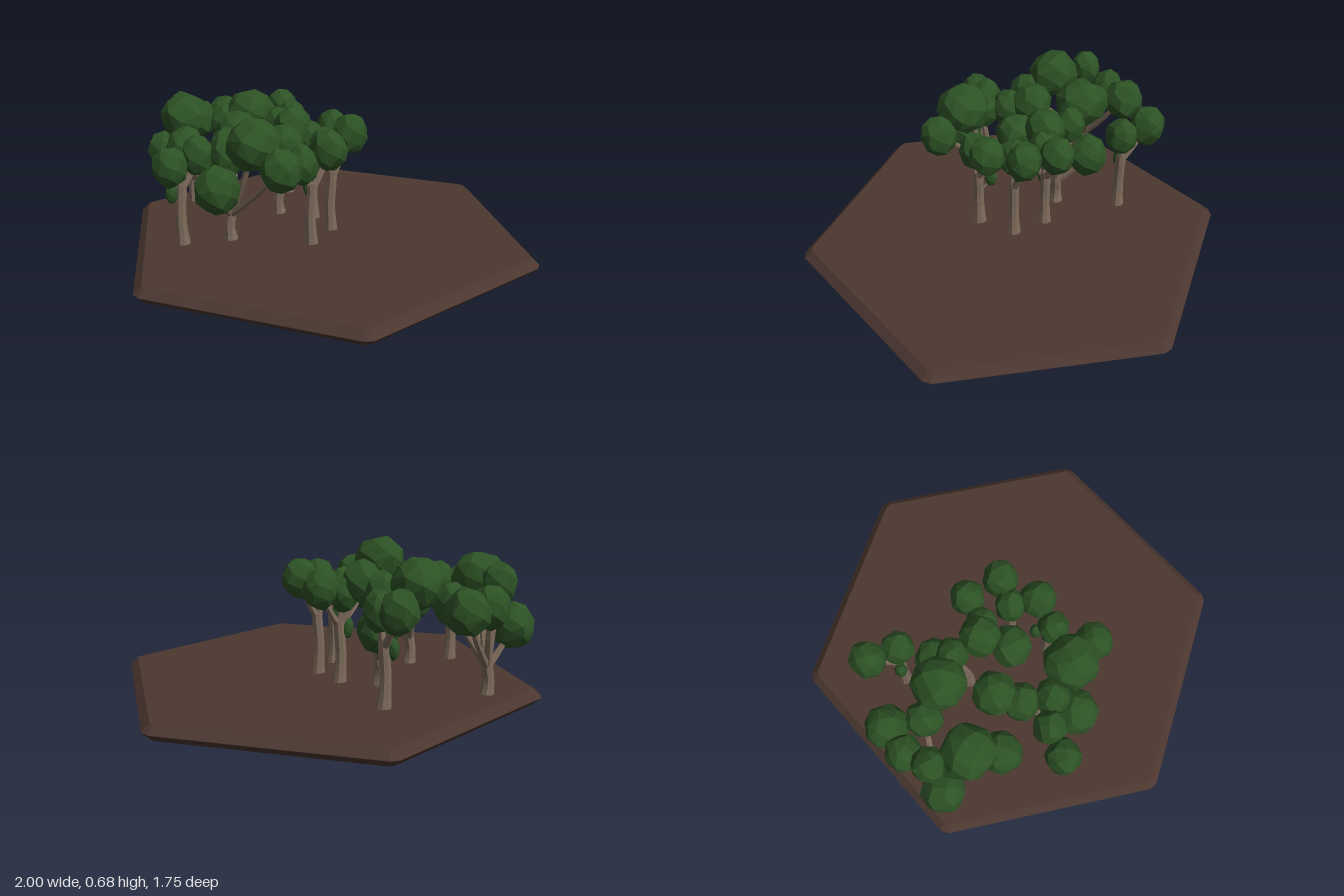
import * as THREE from 'three';
import { ConvexGeometry } from 'three/addons/geometries/ConvexGeometry.js';

const soil = new THREE.MeshStandardMaterial({ color: 0x4b3730 });
soil.name = 'soil';
const bark = new THREE.MeshStandardMaterial({ color: 0x7d6b5b });
bark.name = 'bark';
const foliage = new THREE.MeshStandardMaterial({ color: 0x2d5225 });
foliage.name = 'foliage';

const GROUND = 0.07;

// Small seeded random generator
let seed = 7;
function rand() {
  seed = (seed * 16807) % 2147483647;
  return seed / 2147483647;
}

function addMesh(parent, name, geometry, material) {
  const mesh = new THREE.Mesh(geometry, material);
  mesh.name = name;
  parent.add(mesh);
  return mesh;
}

// Hexagonal slab with clipped corners, bevelled above and below
function makeBase() {
  const R = 1.012, clip = 0.024, bevel = 0.035;
  const corner = (i) => new THREE.Vector2(R * Math.cos(i * Math.PI / 3), R * Math.sin(i * Math.PI / 3));
  const points = [];
  for (let i = 0; i < 6; i++) {
    points.push(corner(i).lerp(corner(i - 1), clip / R), corner(i).lerp(corner(i + 1), clip / R));
  }
  const geo = new THREE.ExtrudeGeometry(new THREE.Shape(points), {
    depth: 0.002, bevelEnabled: true, bevelSegments: 1,
    bevelThickness: 0.034, bevelSize: bevel, bevelOffset: -bevel, steps: 1,
  });
  geo.rotateX(-Math.PI / 2);
  geo.translate(0, 0.034, 0);
  return geo;
}

// Faceted limb along a curve, radius given by a function of 0..1
function makeLimb(points, radius, segments, sides) {
  const curve = new THREE.CatmullRomCurve3(points);
  const geo = new THREE.TubeGeometry(curve, segments, 1, sides);
  const pos = geo.attributes.position;
  const v = new THREE.Vector3();
  for (let i = 0; i <= segments; i++) {
    const centre = curve.getPointAt(i / segments);
    for (let j = 0; j <= sides; j++) {
      const k = i * (sides + 1) + j;
      v.fromBufferAttribute(pos, k).sub(centre).multiplyScalar(radius(i / segments)).add(centre);
      pos.setXYZ(k, v.x, v.y, v.z);
    }
  }
  const flat = geo.toNonIndexed();
  flat.computeVertexNormals();
  return flat;
}

// Irregular faceted leaf clump: hull of jittered points on an ellipsoid
function makeClump(r, ry) {
  const points = [], n = 34, turn = rand() * 6.28;
  for (let i = 0; i < n; i++) {
    const h = 1 - 2 * (i + 0.5) / n;
    const a = turn + i * 2.39996 + (rand() - 0.5) * 0.5;
    const s = Math.sqrt(1 - h * h), k = 0.97 + rand() * 0.09;
    points.push(new THREE.Vector3(r * k * s * Math.cos(a), ry * k * h, r * k * s * Math.sin(a)));
  }
  return new ConvexGeometry(points);
}

// Branch bending upward into a leaf clump
function addClump(tree, start, tip, thick, r, ry) {
  const mid = start.clone().lerp(tip, 0.5);
  mid.y -= 0.015;
  addMesh(tree, 'branch', makeLimb([start, mid, tip], (t) => thick * (1 - 0.5 * t), 4, 6), bark);
  addMesh(tree, 'leafClump', makeClump(r, ry), foliage).position.copy(tip);
}

// One tree: foot x and z, clumps as [x, z, radius, height], low fork or not,
// and an optional small side sprout at a z offset from the trunk
function makeTree(name, x, z, clumps, { low = false, sprout } = {}) {
  const tree = new THREE.Group();
  tree.name = name;
  const fork = low ? 0.19 : 0.33, height = fork - GROUND;
  const top = new THREE.Vector3(x + 0.004, fork, z);

  // Trunk with flared foot and a slight bend
  addMesh(tree, 'trunk', makeLimb([
    new THREE.Vector3(x, GROUND - 0.005, z),
    new THREE.Vector3(x - 0.004, GROUND + height * 0.5, z + 0.004),
    top,
    new THREE.Vector3(x + 0.004, fork + 0.03, z),
  ], (t) => 0.025 + 0.008 * Math.pow(1 - t, 5), 6, 8), bark);

  for (const [cx, cz, r, cy = 0.48] of clumps) {
    addClump(tree, top.clone(), new THREE.Vector3(cx, cy, cz), 0.019, r, 0.055 + 0.5 * r);
  }
  if (sprout) {
    addClump(tree, new THREE.Vector3(x, 0.25, z), new THREE.Vector3(x - 0.03, 0.32, z + sprout), 0.009, 0.029, 0.05);
  }
  return tree;
}

export function createModel() {
  seed = 7;
  const model = new THREE.Group();
  model.name = 'forestTile';
  addMesh(model, 'hexagonalBase', makeBase(), soil);

  model.add(
    makeTree('frontLeftTree', -0.545, 0.39,
      [[-0.575, 0.42, 0.08, 0.44], [-0.48, 0.33, 0.077]], { sprout: 0.03 }),
    makeTree('frontSpreadingTree', -0.365, 0.265,
      [[-0.35, 0.41, 0.105, 0.36], [-0.2, 0.335, 0.125, 0.56], [-0.35, 0.3, 0.08],
        [-0.05, 0.4, 0.088], [-0.41, 0.18, 0.085], [-0.42, 0.06, 0.098, 0.52]], { low: true }),
    makeTree('frontRightTree', 0, 0.178,
      [[0.06, 0.11, 0.085, 0.5], [-0.03, 0.21, 0.073, 0.45]], { sprout: -0.048 }),
    makeTree('middleRightTree', 0.025, -0.01,
      [[0.09, -0.08, 0.083, 0.53], [0, 0, 0.075]]),
    makeTree('rightTree', -0.107, -0.12,
      [[-0.035, -0.195, 0.08, 0.51], [-0.12, -0.1, 0.07], [-0.2, -0.08, 0.095, 0.53],
        [-0.185, 0.06, 0.095]], { sprout: 0.02 }),
    makeTree('middleSpreadingTree', -0.29, -0.12,
      [[-0.46, -0.175, 0.122, 0.555], [-0.31, -0.265, 0.095, 0.36], [-0.31, -0.17, 0.075, 0.51]], { low: true }),
    makeTree('leftSpreadingTree', -0.77, -0.12,
      [[-0.86, -0.03, 0.098, 0.36], [-0.8, -0.1, 0.075, 0.56], [-0.7, 0.04, 0.122, 0.555],
        [-0.64, 0.165, 0.093, 0.45], [-0.69, -0.335, 0.098], [-0.775, -0.23, 0.083],
        [-0.61, -0.195, 0.083]], { low: true }),
    makeTree('backTree', -0.37, -0.417,
      [[-0.44, -0.515, 0.085, 0.505], [-0.345, -0.415, 0.075]], { sprout: 0.017 }),
  );
  return model;
}
